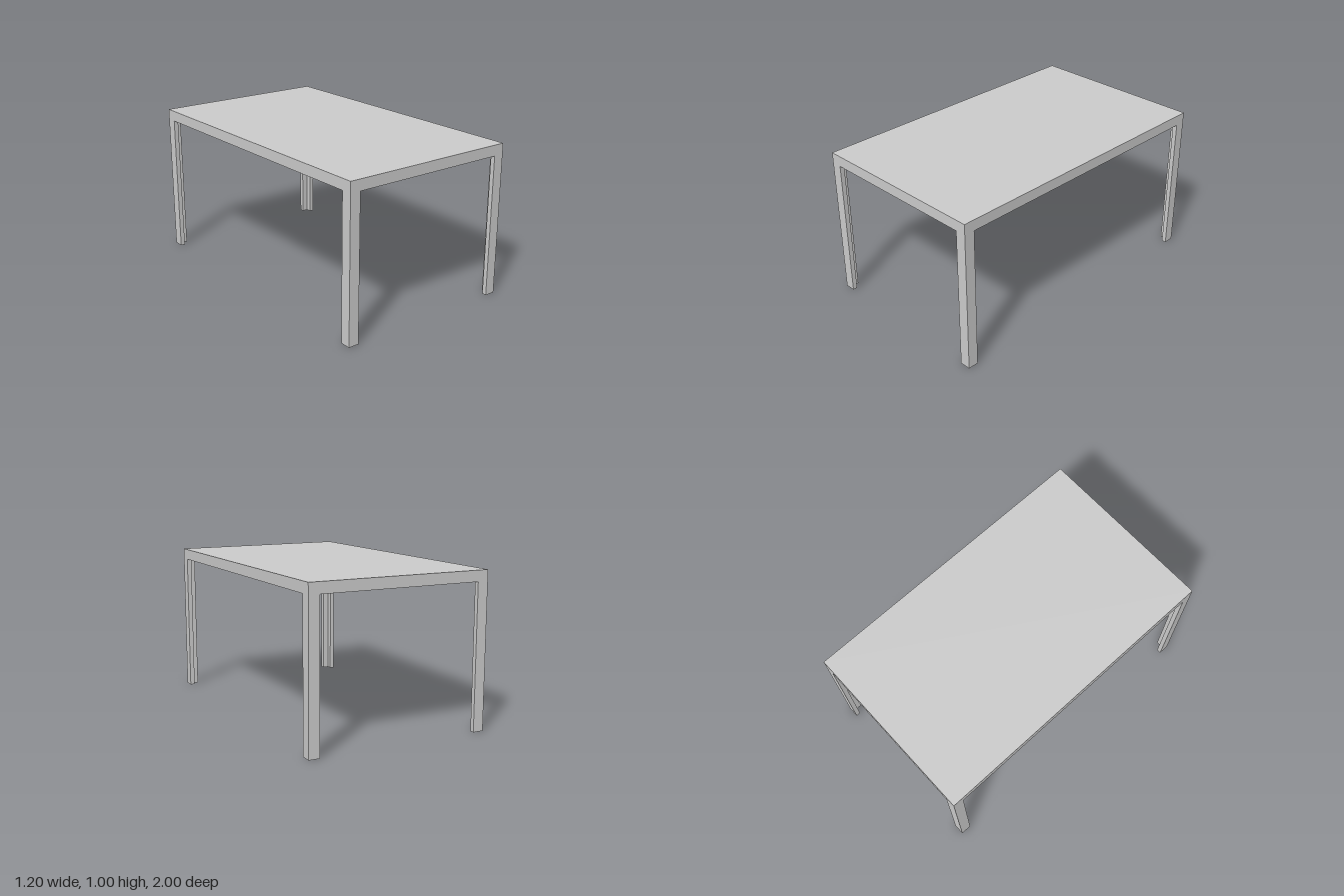
import * as THREE from 'three';

const W = 1.2, D = 2, H = 1;   // overall size
const LEG = 0.07, WALL = 0.03; // leg width and angle-profile thickness
const UNDER = 0.93, SLAB = 0.97; // apron bottom and tabletop underside
const RAIL = 0.045, BLOCK = 0.16;

export function createModel() {
  const group = new THREE.Group();
  const material = new THREE.MeshStandardMaterial({ color: 0xcccccc, flatShading: true });

  const add = (name, geometry) => {
    const mesh = new THREE.Mesh(geometry, material);
    mesh.name = name;
    group.add(mesh);
  };
  // Box from its minimum and maximum corners
  const box = (name, x0, y0, z0, x1, y1, z1) => add(name,
    new THREE.BoxGeometry(x1 - x0, y1 - y0, z1 - z0)
      .translate((x0 + x1) / 2, (y0 + y1) / 2, (z0 + z1) / 2));
  // Plan outline (x, z) extruded upwards from y0 to y1
  const prism = (name, shape, y0, y1) => add(name,
    new THREE.ExtrudeGeometry(shape, { depth: y1 - y0, bevelEnabled: false })
      .rotateX(-Math.PI / 2).translate(0, y0, 0));

  const x = W / 2, z = D / 2;

  // Tabletop slab
  box('tabletop', -x, SLAB, -z, x, H, z);

  // Apron: rails with square corner blocks, drawn as one frame with a stepped opening
  const frame = new THREE.Shape([[-x, -z], [x, -z], [x, z], [-x, z]]
    .map(p => new THREE.Vector2(...p)));
  const rx = x - RAIL, rz = z - RAIL, bx = x - BLOCK, bz = z - BLOCK;
  frame.holes.push(new THREE.Path([
    [bx, rz], [bx, bz], [rx, bz], [rx, -bz], [bx, -bz], [bx, -rz],
    [-bx, -rz], [-bx, -bz], [-rx, -bz], [-rx, bz], [-bx, bz], [-bx, rz],
  ].map(p => new THREE.Vector2(...p))));
  prism('apron', frame, UNDER, SLAB);

  // Lengthwise beam under the middle
  box('centreBeam', -0.015, UNDER, -rz, 0.015, SLAB, rz);

  // Four L-section legs, open towards the inside
  for (const sx of [-1, 1]) for (const sz of [-1, 1]) {
    const outline = [[0, 0], [LEG, 0], [LEG, WALL], [WALL, WALL], [WALL, LEG], [0, LEG]]
      .map(([a, b]) => new THREE.Vector2(sx * (x - a), -sz * (z - b)));
    const name = (sz > 0 ? 'front' : 'back') + (sx > 0 ? 'Left' : 'Right') + 'Leg';
    prism(name, new THREE.Shape(outline), 0, UNDER);
  }
  return group;
}
